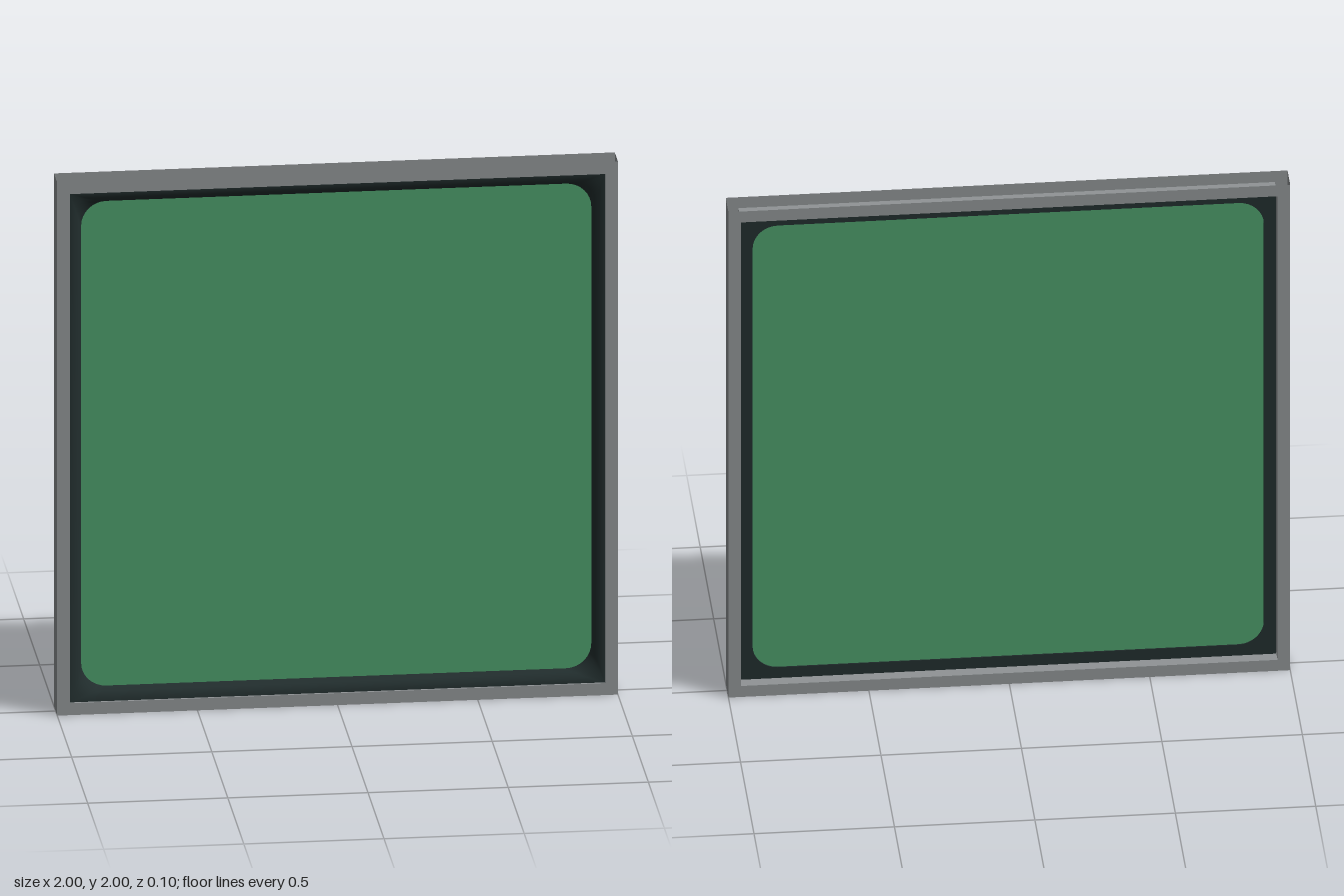
import * as THREE from 'three';
import { toCreasedNormals } from 'three/addons/utils/BufferGeometryUtils.js';

const OUT = 1, IN = 0.955, GLASS = 0.91, DEPTH = 0.05, RADIUS = 0.09;

// Closed loop of points around a square with rounded corners
function roundedSquare(half, radius, steps = 8) {
  const points = [];
  for (let corner = 0; corner < 4; corner++) {
    const start = corner * Math.PI / 2;
    const cx = (corner === 0 || corner === 3 ? 1 : -1) * (half - radius);
    const cy = (corner < 2 ? 1 : -1) * (half - radius);
    for (let i = 0; i <= steps; i++) {
      const a = start + (i / steps) * Math.PI / 2;
      points.push(new THREE.Vector2(cx + radius * Math.cos(a), cy + radius * Math.sin(a)));
    }
  }
  return points;
}

// Sweep a [half size, corner radius, z] profile around the window
function sweepRing(profile) {
  const rings = profile.map(([half, radius]) => roundedSquare(half, radius));
  const n = rings[0].length, positions = [], index = [];
  rings.forEach((ring, j) => ring.forEach((p) => positions.push(p.x, p.y, profile[j][2])));
  for (let j = 0; j < rings.length - 1; j++) {
    for (let i = 0; i < n; i++) {
      const k = (i + 1) % n;
      const a = j * n + i, b = j * n + k, c = a + n, d = b + n;
      index.push(a, b, c, b, d, c);
    }
  }
  const geometry = new THREE.BufferGeometry();
  geometry.setAttribute('position', new THREE.Float32BufferAttribute(positions, 3));
  geometry.setIndex(index);
  return toCreasedNormals(geometry, 0.7);
}

export function createModel() {
  const metal = new THREE.MeshStandardMaterial({ color: 0x909496, side: THREE.DoubleSide });
  metal.name = 'grey metal';
  const rubber = new THREE.MeshStandardMaterial({ color: 0x222e2e, side: THREE.DoubleSide });
  rubber.name = 'dark rubber';
  const green = new THREE.MeshStandardMaterial({ color: 0x4c9d6a });
  green.name = 'green glass';

  const model = new THREE.Group();
  model.name = 'window';
  const add = (parent, name, geometry, material) => {
    const mesh = new THREE.Mesh(geometry, material);
    mesh.name = name;
    parent.add(mesh);
    return mesh;
  };

  // Hollow frame: front and back faces, side walls and inner walls, open above and below
  const frame = new THREE.Group();
  frame.name = 'frame';
  const face = new THREE.Shape(roundedSquare(OUT, 0, 1));
  face.holes.push(new THREE.Path(roundedSquare(IN, 0, 1).reverse()));
  const faceGeometry = new THREE.ShapeGeometry(face);
  add(frame, 'frontFace', faceGeometry, metal).position.z = DEPTH;
  const back = add(frame, 'backFace', faceGeometry, metal);
  back.position.z = -DEPTH;
  back.rotation.y = Math.PI;
  for (const s of [-1, 1]) {
    const side = add(frame, s > 0 ? 'leftOuterWall' : 'rightOuterWall',
      new THREE.PlaneGeometry(2 * DEPTH, 2 * OUT), metal);
    side.position.x = s * OUT;
    side.rotation.y = s * Math.PI / 2;
    const inner = add(frame, s > 0 ? 'leftInnerWall' : 'rightInnerWall',
      new THREE.PlaneGeometry(2 * DEPTH, 2 * IN), metal);
    inner.position.x = s * IN;
    inner.rotation.y = -s * Math.PI / 2;
    const rail = add(frame, s > 0 ? 'topInnerWall' : 'bottomInnerWall',
      new THREE.PlaneGeometry(2 * IN, 2 * DEPTH), metal);
    rail.position.y = s * IN;
    rail.rotation.x = s * Math.PI / 2;
  }
  model.add(frame);

  // Seal rounding down from the frame to the glass
  add(model, 'seal', sweepRing([
    [IN - 0.001, 0, 0.045], [0.935, 0.04, 0.042], [0.92, 0.07, 0.03],
    [GLASS, RADIUS, 0.008], [GLASS, RADIUS, -0.008], [IN - 0.001, 0, -0.008],
  ]), rubber);

  // Glass pane
  const pane = new THREE.ExtrudeGeometry(new THREE.Shape(roundedSquare(GLASS, RADIUS)),
    { depth: 0.008, bevelEnabled: false });
  pane.translate(0, 0, -0.004);
  add(model, 'glass', pane, green);

  model.children.forEach((part) => { part.position.y = OUT; });
  return model;
}
